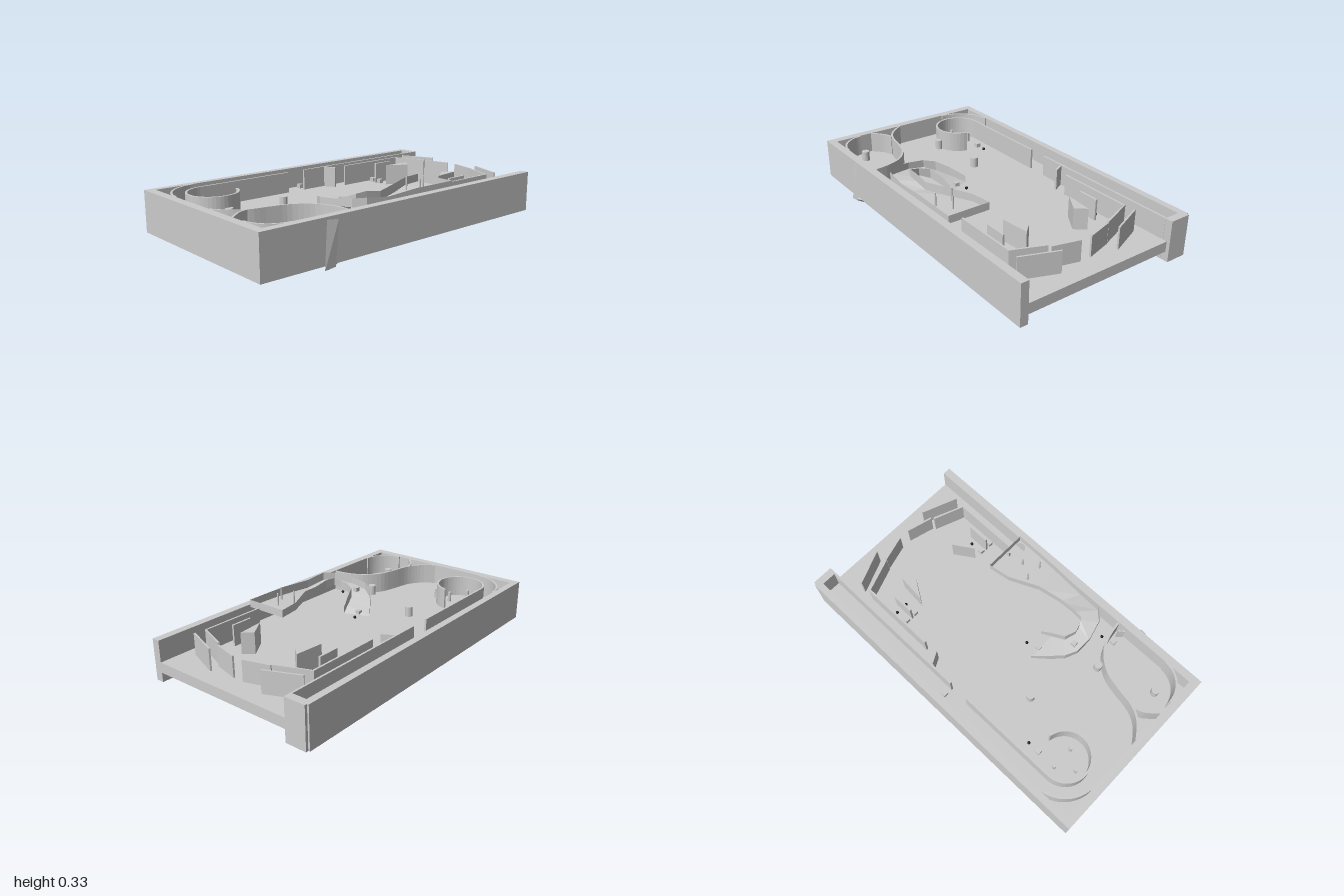
import * as THREE from 'three';

const BOTTOM = 0.035, TOP = 0.275, FLOOR = 0.15;
const grey = new THREE.MeshStandardMaterial({ color: 0xcccccc, flatShading: true });
const sheet = new THREE.MeshStandardMaterial({ color: 0xcccccc, side: THREE.DoubleSide, flatShading: true });
const black = new THREE.MeshStandardMaterial({ color: 0x111111 });

export function createModel() {
  const model = new THREE.Group();
  const add = (name, geo, mat = grey) => {
    const m = new THREE.Mesh(geo, mat);
    m.name = name;
    model.add(m);
    return m;
  };
  // box given by its limits
  const box = (name, x0, x1, y0, y1, z0, z1) =>
    add(name, new THREE.BoxGeometry(x1 - x0, y1 - y0, z1 - z0))
      .position.set((x0 + x1) / 2, (y0 + y1) / 2, (z0 + z1) / 2);
  // upright prism over an outline of [x, z] points
  const prism = (name, pts, y0 = BOTTOM, y1 = TOP) => {
    const shape = new THREE.Shape(pts.map(([x, z]) => new THREE.Vector2(x, -z)));
    const geo = new THREE.ExtrudeGeometry(shape, { depth: y1 - y0, bevelEnabled: false });
    geo.rotateX(-Math.PI / 2).translate(0, y0, 0);
    add(name, geo);
  };
  // thin upright wall following a path of [x, z] points
  const wall = (name, pts, t = 0.012, y0 = BOTTOM, y1 = TOP) => {
    const a = [], b = [];
    pts.forEach(([x, z], i) => {
      const p = pts[Math.max(i - 1, 0)], q = pts[Math.min(i + 1, pts.length - 1)];
      const dx = q[0] - p[0], dz = q[1] - p[1], k = t / 2 / Math.hypot(dx, dz);
      a.push([x - dz * k, z + dx * k]);
      b.unshift([x + dz * k, z - dx * k]);
    });
    prism(name, [...a, ...b], y0, y1);
  };
  const arc = (cx, cz, r, a0, a1, n = 20) => Array.from({ length: n + 1 }, (_, i) => {
    const a = a0 + (a1 - a0) * i / n;
    return [cx + r * Math.cos(a), cz + r * Math.sin(a)];
  });
  const smooth = (pts, n = 28) => new THREE.SplineCurve(pts.map(p => new THREE.Vector2(...p)))
    .getPoints(n).map(p => [p.x, p.y]);
  const post = (name, x, z, r, y0, y1) =>
    add(name, new THREE.CylinderGeometry(r, r, y1 - y0, 16)).position.set(x, (y0 + y1) / 2, z);

  // cabinet and playfield
  box('rightSideWall', -0.555, -0.515, BOTTOM, TOP, -0.985, 1);
  box('leftSideWall', 0.49, 0.537, BOTTOM, TOP, -0.98, 1);
  box('frontWall', -0.515, 0.49, BOTTOM, TOP, 0.95, 1);
  box('laneEndBlock', -0.545, -0.42, BOTTOM, TOP, -1, -0.955);
  box('playfield', -0.515, 0.49, 0.09, FLOOR, -0.98, 0.95);

  // ball lane and the loop at its end
  wall('laneDivider', [[-0.425, -0.955], [-0.425, 0.005]]);
  wall('laneLoop', [[-0.425, 0.125], ...arc(-0.285, 0.735, 0.14, Math.PI, -1.4, 30)]);
  wall('laneFlap', [[-0.415, -0.155], [-0.35, -0.19]]);

  // curved guides in the front corners
  wall('frontRightGuide', arc(-0.295, 0.73, 0.216, Math.PI, Math.PI / 2));
  wall('frontLeftGuide', arc(0.33, 0.785, 0.16, 0, Math.PI / 2));
  wall('bowlLowerGuide', smooth([[0.17, 0.82], [0.19, 0.88], [0.25, 0.95]], 10));
  wall('bowlWall', smooth([[0.04, 0.95], [0.12, 0.89], [0.17, 0.81], [0.195, 0.69], [0.225, 0.585],
    [0.3, 0.495], [0.39, 0.455], [0.485, 0.44]]));

  // guides at the open end
  wall('returnGuideRight', [[-0.355, -0.27], [-0.355, -0.73], [-0.16, -0.805]], 0.012);
  wall('returnGuideLeft', [[0.41, -0.34], [0.41, -0.73], [0.23, -0.8]], 0.012);
  wall('innerFlipperRight', [[-0.155, -0.81], [0, -0.855]], 0.01, 0.032, 0.272);
  wall('innerFlipperLeft', [[0.065, -0.855], [0.22, -0.815]], 0.01, 0.032, 0.272);
  wall('outerPlateRight', [[-0.36, -0.8], [-0.16, -0.885]], 0.01, 0.03, 0.279);
  wall('outerPlateLeft', [[0.21, -0.88], [0.42, -0.8]], 0.01, 0.03, 0.277);
  for (const x of [-0.28, 0.343]) wall('laneSeparator', [[x, -0.6], [x, -0.47]]);
  prism('slingshotRight', [[-0.175, -0.65], [-0.115, -0.6], [-0.19, -0.48]]);
  prism('slingshotLeft', [[0.235, -0.645], [0.18, -0.595], [0.255, -0.48]]);

  // bumpers, pins, targets and marker beads
  for (const [x, z] of [[-0.155, 0.36], [0.24, 0.515], [-0.13, 0.73], [0.35, 0.845]])
    post('bumper', x, z, 0.023, FLOOR, 0.21);
  for (const [x, z] of [[-0.355, 0.72], [-0.22, 0.72], [-0.29, 0.82]])
    post('loopPin', x, z, 0.01, FLOOR, 0.21);
  for (const [x, z, y = FLOOR] of [[-0.35, 0.6], [-0.475, -0.005], [0.095, 0.19], [0.23, 0.335, 0.225],
    [0.42, 0.48], [-0.315, -0.485], [-0.25, -0.485], [0.31, -0.485], [0.38, -0.485]])
    box('target', x - 0.014, x + 0.014, y, y + 0.025, z - 0.014, z + 0.014);
  for (const [x, z] of [[-0.32, -0.56], [-0.25, -0.56], [0.305, -0.56], [0.38, -0.56],
    [0.07, 0.12], [0.4, 0.41], [-0.35, 0.53]])
    add('bead', new THREE.SphereGeometry(0.009, 12, 8), black).position.set(x, FLOOR + 0.008, z);
  wall('bowlGate', [[0.46, 0.465], [0.485, 0.495]], 0.008, FLOOR, 0.24);

  // ramp: inner x, z; outer x, z; floor height; rim height
  const ramp = [
    [0.17, 0.14, 0.02, 0.2, 0.152, 0.19], [0.19, 0.2, 0.08, 0.285, 0.18, 0.235],
    [0.22, 0.275, 0.135, 0.35, 0.205, 0.262], [0.28, 0.3, 0.2, 0.385, 0.23, 0.275],
    [0.32, 0.29, 0.3, 0.387, 0.245, 0.285], [0.355, 0.27, 0.42, 0.355, 0.255, 0.3],
    [0.36, 0.2, 0.47, 0.3, 0.255, 0.305], [0.36, 0.1, 0.48, 0.16, 0.24, 0.29],
    [0.33, -0.03, 0.485, -0.05, 0.255, 0.305], [0.25, -0.2, 0.487, -0.2, 0.26, 0.305],
    [0.23, -0.33, 0.487, -0.33, 0.26, 0.305],
  ];
  const ribbon = (name, a, b) => {
    const pos = [], idx = [];
    a.forEach((p, i) => {
      pos.push(...p, ...b[i]);
      if (i) idx.push(2 * i - 2, 2 * i - 1, 2 * i, 2 * i - 1, 2 * i + 1, 2 * i);
    });
    const g = new THREE.BufferGeometry();
    g.setAttribute('position', new THREE.Float32BufferAttribute(pos, 3));
    g.setIndex(idx);
    g.computeVertexNormals();
    add(name, g, sheet);
  };
  const inner = k => ramp.map(r => [r[0], r[k], r[1]]);
  const outer = k => ramp.map(r => [r[2], r[k], r[3]]);
  ribbon('rampFloor', inner(4).slice(0, 10), outer(4).slice(0, 10));
  ribbon('rampInnerRim', inner(4), inner(5));
  ribbon('rampOuterRim', outer(4), outer(5));
  ribbon('trayEndRim', [inner(4)[10], outer(4)[10]], [inner(5)[10], outer(5)[10]]);

  // tray with three drop holes and its pins
  const tray = new THREE.Shape([[0.25, 0.2], [0.487, 0.2], [0.487, 0.33], [0.23, 0.33]]
    .map(p => new THREE.Vector2(...p)));
  for (const x of [0.275, 0.36, 0.448])
    tray.holes.push(new THREE.Path().absarc(x, 0.295, 0.032, 0, Math.PI * 2, true));
  add('trayFloor', new THREE.ShapeGeometry(tray).rotateX(-Math.PI / 2).translate(0, 0.26, 0), sheet);
  for (const [x, z] of [[0.333, -0.125], [0.435, -0.125], [0.38, -0.21]])
    post('trayPin', x, z, 0.005, 0.25, 0.335);

  // bent lever on the outside of the cabinet
  ribbon('leverStrip', [[0.541, 0.262, 0.62], [0.555, 0.02, 0.645]], [[0.552, 0.258, 0.555], [0.552, 0.025, 0.575]]);
  ribbon('leverFoot', [[0.555, 0.02, 0.645], [0.53, 0.01, 0.6], [0.47, 0.005, 0.49]],
    [[0.552, 0.04, 0.575], [0.53, 0.034, 0.55], [0.47, 0.033, 0.49]]);
  return model;
}
